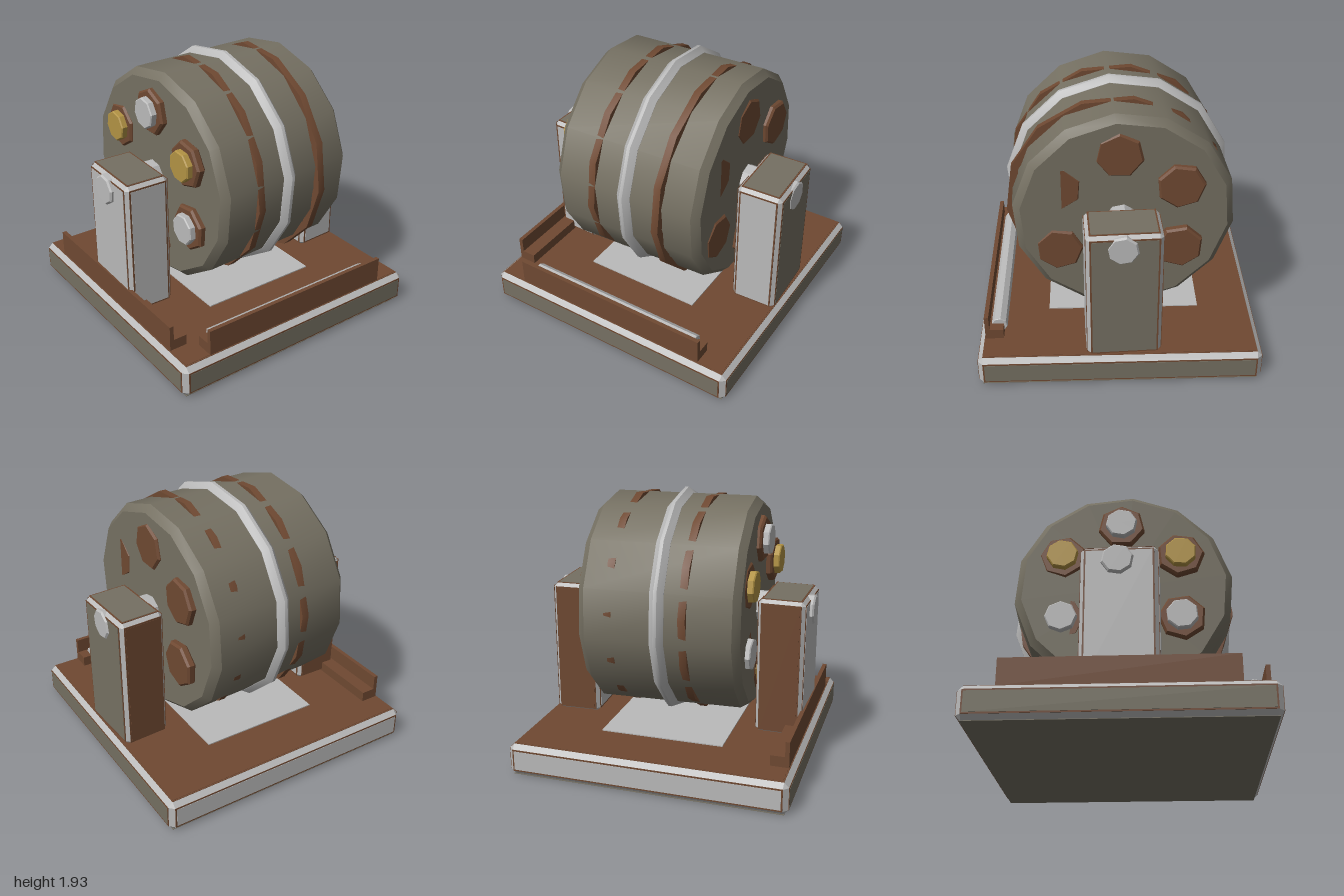
import * as THREE from 'three';
import { toCreasedNormals } from 'three/addons/utils/BufferGeometryUtils.js';
import { ConvexGeometry } from 'three/addons/geometries/ConvexGeometry.js';

const DEG = Math.PI / 180;
const SIDES = 14;
const AXLE_Y = 1.12;

function material(name, color) {
  const m = new THREE.MeshStandardMaterial({ color });
  m.name = name;
  return m;
}

function add(parent, name, geometry, mat, x = 0, y = 0, z = 0) {
  const mesh = new THREE.Mesh(geometry, mat);
  mesh.name = name;
  mesh.position.set(x, y, z);
  parent.add(mesh);
  return mesh;
}

// Faceted solid of revolution about z; profile is [radius, z], first corner at angle degrees
function turned(profile, sides, angle) {
  const points = profile.map(([r, z]) => new THREE.Vector2(r, z));
  const g = new THREE.LatheGeometry(points, sides, (angle + 90) * DEG, Math.PI * 2);
  g.rotateX(Math.PI / 2);
  return toCreasedNormals(g, 0.5);
}

// Disc with a bevelled front and back rim
function disc(r, z0, z1, bevel, sides, angle) {
  return turned([[0, z0], [r - bevel, z0], [r, z0 + bevel], [r, z1 - bevel], [r - bevel, z1], [0, z1]], sides, angle);
}

function chamferedBox(w, h, d, c) {
  const pts = [];
  for (const sx of [-1, 1]) for (const sy of [-1, 1]) for (const sz of [-1, 1]) {
    for (let k = 0; k < 3; k++) {
      const inset = [c, c, c];
      inset[k] = 0;
      pts.push(new THREE.Vector3(sx * (w / 2 - inset[0]), sy * (h / 2 - inset[1]), sz * (d / 2 - inset[2])));
    }
  }
  return new ConvexGeometry(pts);
}

// Framed block: chamfered core, with an outlined panel on each listed face
function panelBlock(name, size, chamfer, margin, coreMat, lineMat, panels) {
  const group = new THREE.Group();
  group.name = name;
  add(group, name + 'Frame', chamferedBox(...size, chamfer), coreMat);
  for (const [axis, sign, mat] of panels) {
    [[margin - 0.011, 0.004, lineMat, 'Outline'], [margin, 0.008, mat, 'Panel']].forEach(([m, t, mt, label]) => {
      const s = size.map((v) => v - 2 * m);
      s[axis] = t;
      const p = [0, 0, 0];
      p[axis] = sign * size[axis] / 2;
      add(group, name + label, new THREE.BoxGeometry(...s), mt, ...p);
    });
  }
  return group;
}

export function createModel() {
  const olive = material('olive grey', 0x757062);
  const brown = material('rust brown', 0x6f4932);
  const steel = material('light steel', 0xbababa);
  const gold = material('brass', 0xb29344);
  const model = new THREE.Group();
  model.name = 'drumMachine';

  // Base slab
  const base = panelBlock('base', [1.992, 0.23, 1.992], 0.035, 0.045, steel, brown, [
    [2, 1, olive], [2, -1, olive], [0, 1, olive], [0, -1, steel], [1, 1, brown],
  ]);
  base.position.y = 0.117;
  model.add(base);
  add(model, 'baseUnderside', new THREE.BoxGeometry(1.94, 0.004, 1.94), olive, 0, 0.002, 0);
  add(model, 'floorPlate', new THREE.BoxGeometry(1.1, 0.008, 0.9), steel, -0.04, 0.24, 0);

  // Drum with its raised centre ring, slightly skewed
  const drum = new THREE.Group();
  drum.name = 'drum';
  drum.position.set(-0.015, AXLE_Y, -0.005);
  drum.rotation.y = 0.05;
  model.add(drum);
  add(drum, 'drumBody', disc(0.77, -0.56, 0.56, 0.05, SIDES, 8), olive);
  add(drum, 'drumRing', turned([[0.74, -0.055], [0.772, -0.05], [0.812, -0.012], [0.812, 0.012], [0.772, 0.05], [0.74, 0.055]], SIDES, 8), steel);

  // Straight hoops, showing as dashes through the drum's flats
  for (const z of [0.21, -0.31]) {
    const hoop = turned([[0.73, -0.026], [0.785, -0.026], [0.785, 0.026], [0.73, 0.026]], SIDES, 8 + 180 / SIDES);
    add(model, 'drumHoop', hoop, brown, 0, AXLE_Y, z);
  }

  // Six washers on each end, with bolts on the front only
  for (let i = 0; i < 6; i++) {
    const a = (90 - i * 60) * DEG;
    const x = 0.48 * Math.cos(a) - 0.005;
    const dy = 0.48 * Math.sin(a);
    const lean = dy * 0.03;
    add(model, 'frontWasher', disc(0.168, -0.06, 0.005, 0.015, 7, 90 + i * 17), brown, x, AXLE_Y + dy, 0.575 + lean);
    add(model, 'frontBolt', disc(0.112, -0.06, 0.05, 0.008, 8, 10 + i * 9), i % 2 ? gold : steel, x, AXLE_Y + dy, 0.575 + lean);
    add(model, 'backWasher', disc(0.168, -0.005, 0.06, 0.015, 7, 90 + i * 17), brown, x, AXLE_Y + dy, -0.588 + lean);
  }

  // Axle and the two posts that carry it
  add(model, 'axle', disc(0.11, -0.965, 0.97, 0.012, 8, 12), steel, -0.015, AXLE_Y - 0.005, 0);
  for (const s of [1, -1]) {
    const post = panelBlock('post', [0.515, 1, 0.335], 0.03, 0.036, steel, brown, [
      [2, s, s > 0 ? steel : olive], [2, -s, steel], [0, 1, steel], [0, -1, brown], [1, 1, olive],
    ]);
    post.position.set(s > 0 ? 0 : -0.02, 0.725, s > 0 ? 0.772 : -0.785);
    post.rotation.y = s > 0 ? -0.02 : 0.045;
    model.add(post);
  }

  // Angle rails along the front and the left edge
  const angleIron = new THREE.Shape([[0, 0], [0, 0.19], [-0.03, 0.19], [-0.03, 0.08], [-0.13, 0.08], [-0.13, 0]].map(([x, y]) => new THREE.Vector2(x, y)));
  const railGeometry = new THREE.ExtrudeGeometry(angleIron, { depth: 1.53, bevelEnabled: false });
  railGeometry.translate(0, 0, -0.765);
  add(model, 'sideRail', railGeometry, brown, 0.955, 0.232, 0);
  add(model, 'frontRail', railGeometry, brown, 0, 0.232, 0.955).rotation.y = -Math.PI / 2;

  // Loose rod lying on the side rail
  add(model, 'rod', disc(0.058, -0.695, 0.695, 0.004, 8, 10), steel, 0.858, 0.298, 0);

  return model;
}
